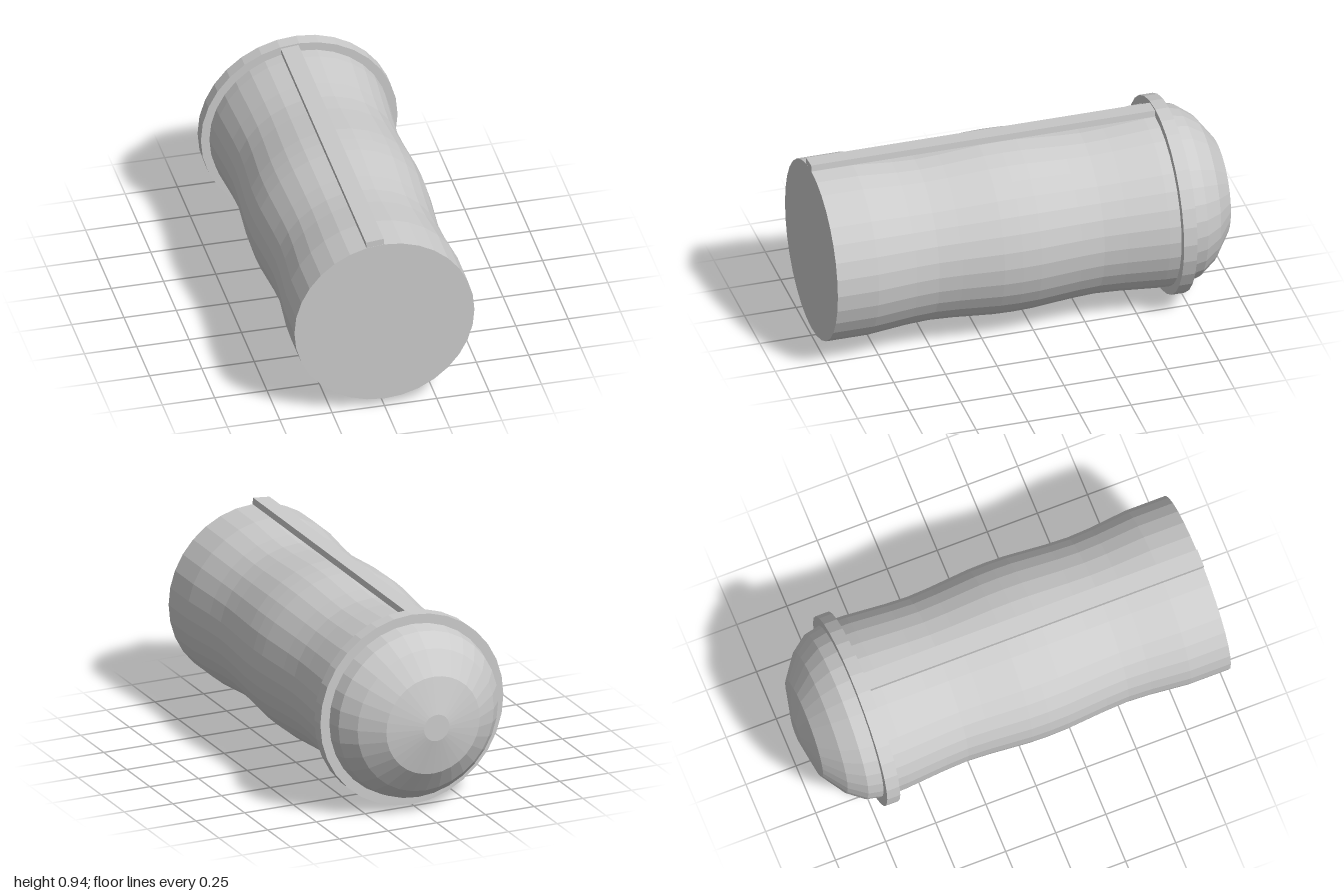
import * as THREE from 'three';

const SIDES = 32;
const AXIS_Y = 0.47;

export function createModel() {
  const group = new THREE.Group();
  const material = new THREE.MeshStandardMaterial({ color: 0xcccccc, flatShading: true });

  // Turned part lying along z; the profile is [radius, z] from back to front
  const turned = (name, profile) => {
    const points = profile.map(([r, z]) => new THREE.Vector2(r, z));
    const geometry = new THREE.LatheGeometry(points, SIDES);
    geometry.rotateX(Math.PI / 2);
    const mesh = new THREE.Mesh(geometry, material);
    mesh.name = name;
    mesh.position.y = AXIS_Y;
    group.add(mesh);
  };

  // Domed back end, then a grip with two shallow waists and a flat front end
  turned('grip', [
    [0, -1], [0.065, -1], [0.24, -0.96], [0.35, -0.88], [0.41, -0.8], [0.43, -0.7],
    [0.428, -0.61], [0.412, -0.41], [0.407, -0.3], [0.412, -0.19], [0.428, 0.01],
    [0.43, 0.1], [0.428, 0.19], [0.412, 0.39], [0.407, 0.5], [0.412, 0.61],
    [0.43, 0.8], [0.43, 1], [0, 1],
  ]);

  // Raised flange around the base of the dome
  turned('collar', [[0.42, -0.73], [0.47, -0.73], [0.47, -0.665], [0.42, -0.665]]);

  // Straight rail resting on the facet just beside the top edge
  const rail = new THREE.Mesh(new THREE.BoxGeometry(0.085, 0.031, 1.68), material);
  rail.name = 'rail';
  rail.position.set(-0.0445, 0.912, 0.16);
  rail.rotation.z = Math.PI / SIDES;
  group.add(rail);

  return group;
}
